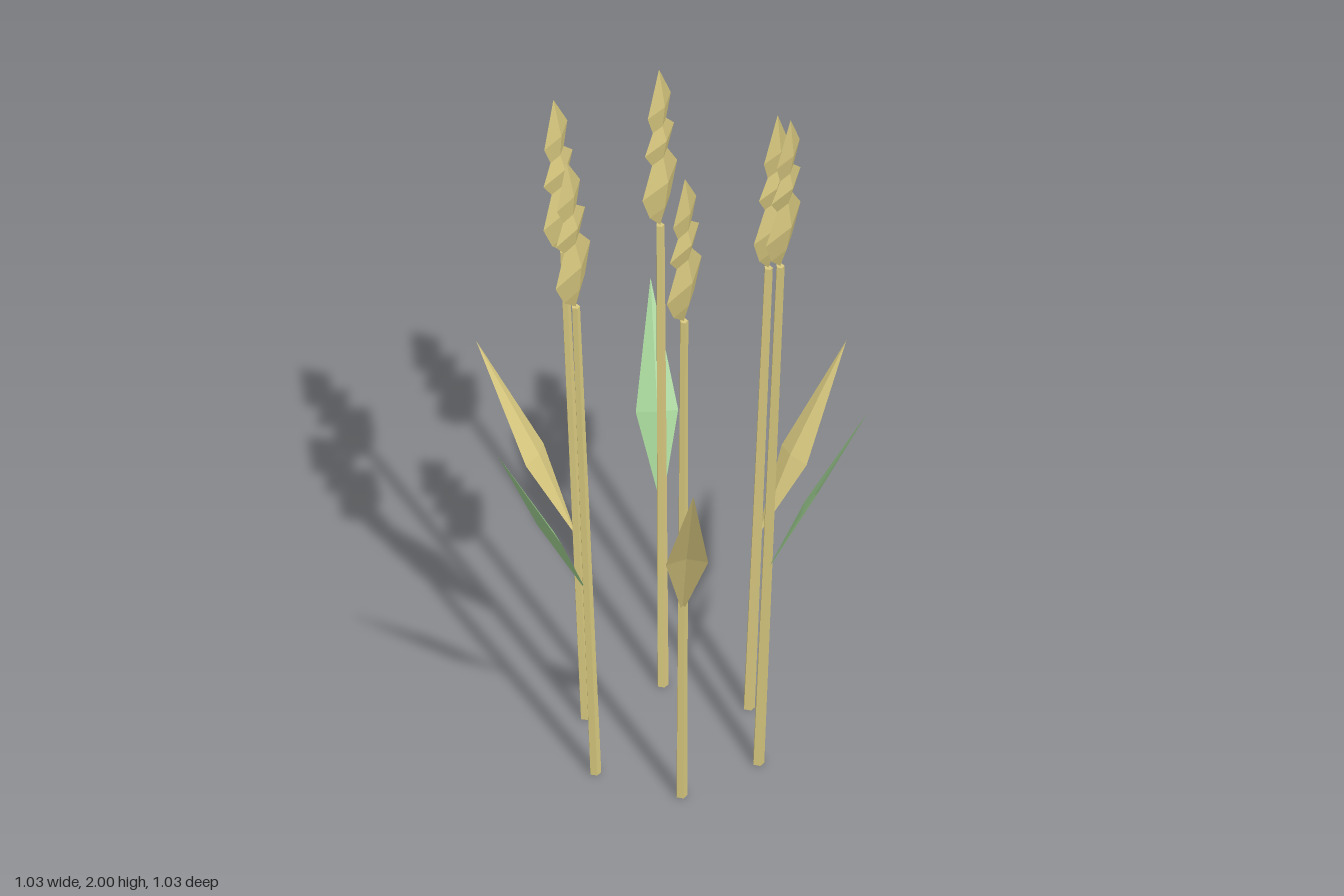
import * as THREE from 'three';

const UP = new THREE.Vector3(0, 1, 0);

// Point at a radius, height and angle around the clump
const polar = (r, y, a) => new THREE.Vector3(r * Math.cos(a), y, r * Math.sin(a));

// Seed head: three stacked spikelets, four-sided and flattened
function headGeometry() {
  const profile = [
    [0, 0], [0.062, 0.055], [0.105, 0.13], [0.046, 0.2],
    [0.088, 0.25], [0.04, 0.292], [0.07, 0.35], [0, 0.457],
  ].map(([r, y]) => new THREE.Vector2(r, y));
  const g = new THREE.LatheGeometry(profile, 4);
  g.scale(1, 1, 0.22);
  g.rotateY(Math.PI / 4);
  return g;
}

// Leaf: a kite folded along its middle, rising outwards
function leafGeometry(base, tip, angle) {
  const side = new THREE.Vector3(-Math.sin(angle), 0, Math.cos(angle));
  const mid = base.clone().lerp(tip, 0.42);
  const left = mid.clone().addScaledVector(side, 0.053);
  const right = mid.clone().addScaledVector(side, -0.053);
  const ridge = mid.clone().add(polar(-0.012, 0.006, angle));
  const corners = [
    base, ridge, left, left, ridge, tip,
    base, right, ridge, ridge, right, tip,
  ];
  const g = new THREE.BufferGeometry().setFromPoints(corners);
  g.computeVertexNormals();
  return g;
}

export function createModel() {
  const wheat = new THREE.MeshStandardMaterial({ color: 0xd8c87f, flatShading: true, side: THREE.DoubleSide });
  wheat.name = 'wheat';
  const green = new THREE.MeshStandardMaterial({ color: 0x9ccb8e, flatShading: true, side: THREE.DoubleSide });
  green.name = 'leaf green';

  const model = new THREE.Group();
  model.name = 'grainStalks';
  const headShape = headGeometry();

  // Six stalks in a ring, each a little shorter than the last
  for (let i = 0; i < 6; i++) {
    const angle = Math.PI / 4 + (i * Math.PI) / 3;
    const height = 1.543 - i * 0.0437;
    const foot = polar(0.235, 0, angle);
    const top = polar(0.295, height, angle);
    const plant = new THREE.Group();
    plant.name = 'plant';

    // Stalk leaning outwards
    const lean = top.clone().sub(foot);
    const stalk = new THREE.Mesh(new THREE.CylinderGeometry(0.011, 0.015, lean.length(), 5), wheat);
    stalk.name = 'stalk';
    stalk.position.copy(foot).lerp(top, 0.5);
    stalk.quaternion.setFromUnitVectors(UP, lean.normalize());

    // Seed head, leaning slightly more than the stalk
    const head = new THREE.Mesh(headShape, wheat);
    head.name = 'seedHead';
    head.position.copy(top);
    head.quaternion.setFromUnitVectors(UP, polar(0.062, 1, angle).normalize());

    // Leaf, alternating green and dry
    const base = polar(0.258, height * 0.385, angle);
    const tip = polar(0.534, height * 0.755, angle);
    const leaf = new THREE.Mesh(leafGeometry(base, tip, angle), i % 2 ? wheat : green);
    leaf.name = 'leaf';

    plant.add(stalk, head, leaf);
    model.add(plant);
  }
  return model;
}
